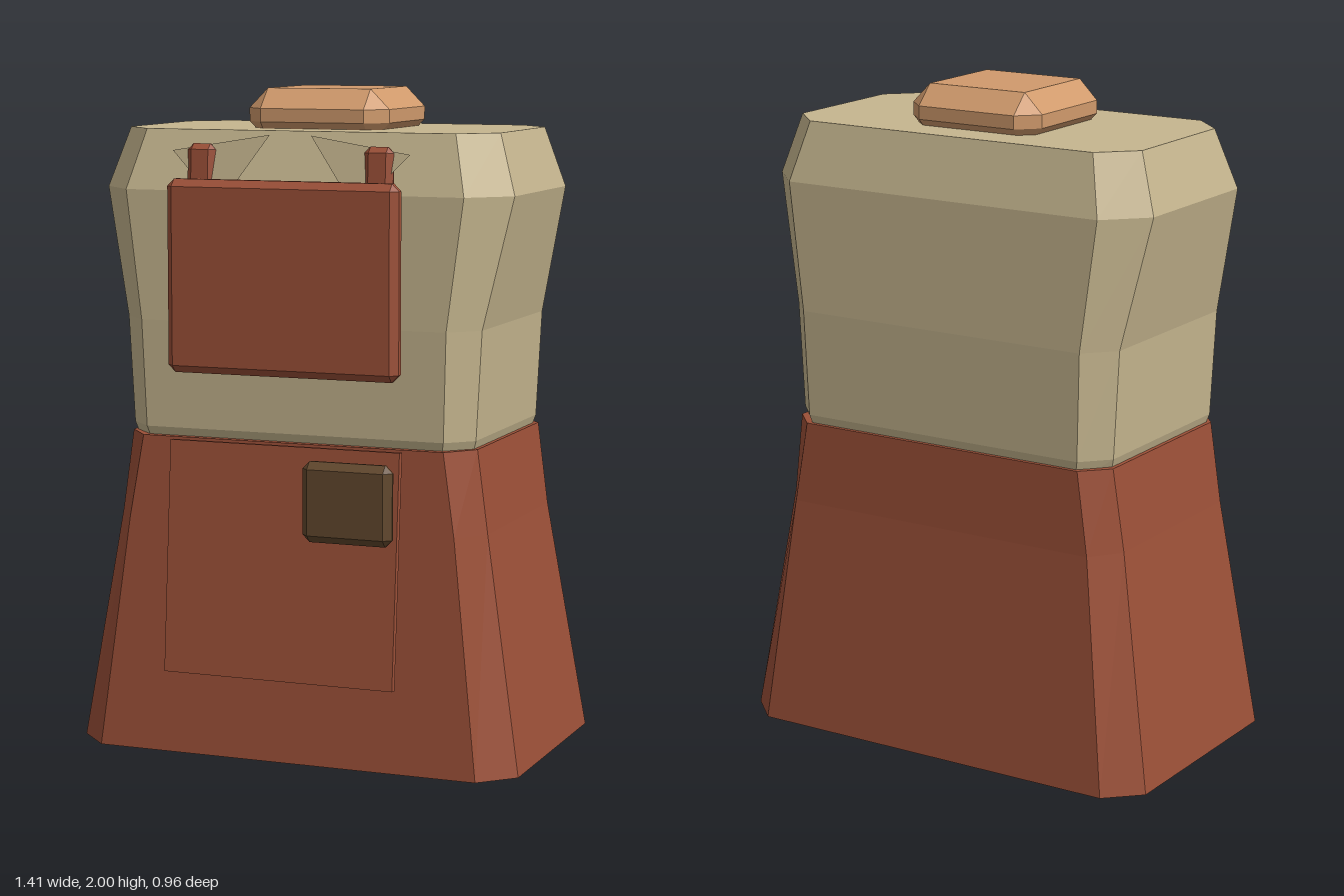
import * as THREE from 'three';
import { ConvexGeometry } from 'three/addons/geometries/ConvexGeometry.js';

function material(name, color, options = {}) {
  const m = new THREE.MeshStandardMaterial({ color, flatShading: true, ...options });
  m.name = name;
  return m;
}

// Faceted body through octagonal rings: [y, halfWidth, innerWidth, front, innerFront, back, innerBack]
function loft(rings) {
  const pos = [];
  const loops = rings.map(([y, X, xi, f, fi, b, bi]) => [
    [X, y, fi], [X, y, bi], [xi, y, b], [-xi, y, b],
    [-X, y, bi], [-X, y, fi], [-xi, y, f], [xi, y, f],
  ]);
  const tri = (...points) => points.forEach((p) => pos.push(...p));
  for (let r = 0; r < loops.length - 1; r++) {
    for (let i = 0; i < 8; i++) {
      const j = (i + 1) % 8, lo = loops[r], hi = loops[r + 1];
      tri(lo[i], lo[j], hi[j]);
      tri(lo[i], hi[j], hi[i]);
    }
  }
  // End caps
  const bottom = loops[0], top = loops[loops.length - 1];
  for (let i = 1; i < 7; i++) {
    tri(top[0], top[i], top[i + 1]);
    tri(bottom[0], bottom[i + 1], bottom[i]);
  }
  const g = new THREE.BufferGeometry();
  g.setAttribute('position', new THREE.Float32BufferAttribute(pos, 3));
  g.computeVertexNormals();
  return g;
}

// Box with every edge and corner cut off by one flat bevel
function bevelBox(w, h, d, b) {
  const points = [];
  for (const x of [-1, 1]) for (const y of [-1, 1]) for (const z of [-1, 1]) {
    for (let axis = 0; axis < 3; axis++) {
      const inset = [b, b, b];
      inset[axis] = 0;
      points.push(new THREE.Vector3(
        x * (w / 2 - inset[0]), y * (h / 2 - inset[1]), z * (d / 2 - inset[2])));
    }
  }
  return new ConvexGeometry(points);
}

export function createModel() {
  const group = new THREE.Group();
  group.name = 'torso';

  const shirt = material('khaki shirt', 0xc6b68f);
  const collarCloth = material('khaki collar', 0xc6b68f, { side: THREE.DoubleSide });
  const overall = material('rust overall', 0x9c5038);
  const skin = material('skin', 0xd09a6c);
  const leather = material('brown leather', 0x62482d);

  const add = (name, geometry, mat, x = 0, y = 0, z = 0, tilt = 0) => {
    const mesh = new THREE.Mesh(geometry, mat);
    mesh.name = name;
    mesh.position.set(x, y, z);
    mesh.rotation.x = tilt;
    group.add(mesh);
    return mesh;
  };

  // Flared lower garment
  add('skirt', loft([
    [0, 0.705, 0.605, 0.405, 0.305, -0.48, -0.385],
    [0.71, 0.59, 0.52, 0.36, 0.26, -0.422, -0.328],
    [0.96, 0.555, 0.48, 0.345, 0.255, -0.412, -0.335],
  ]), overall);

  // Shirt, widening to the shoulders
  add('shirt', loft([
    [0.92, 0.53, 0.46, 0.31, 0.24, -0.39, -0.31],
    [0.985, 0.55, 0.475, 0.33, 0.255, -0.405, -0.325],
    [1.31, 0.567, 0.485, 0.34, 0.257, -0.412, -0.325],
    [1.7, 0.65, 0.535, 0.335, 0.217, -0.403, -0.285],
    [1.88, 0.592, 0.49, 0.278, 0.175, -0.353, -0.253],
  ]), shirt);

  // Neck stump
  add('neck', bevelBox(0.45, 0.16, 0.43, 0.06), skin, 0, 1.92, -0.04);

  // Bib and hanging front panel
  add('bib', bevelBox(0.73, 0.575, 0.062, 0.022), overall, 0, 1.4525, 0.4);
  add('frontPanel', new THREE.BoxGeometry(0.73, 0.7, 0.022), overall, 0, 0.61, 0.418, -0.083);

  // Pouch
  add('pouch', bevelBox(0.28, 0.24, 0.052, 0.022), leather, 0.225, 0.81, 0.455);

  for (const side of [-1, 1]) {
    const label = side > 0 ? 'left' : 'right';
    // Shoulder strap
    add(label + 'Strap', bevelBox(0.09, 0.5, 0.042, 0.018), overall, side * 0.28, 1.592, 0.357, -0.06);
    // Collar flap
    const corners = [[-0.375, 1.82, 0.345], [-0.215, 1.66, 0.373], [-0.065, 1.87, 0.34]];
    if (side > 0) corners.reverse();
    const flap = new THREE.BufferGeometry().setFromPoints(
      corners.map(([x, y, z]) => new THREE.Vector3(-side * x, y, z)));
    flap.computeVertexNormals();
    add(label + 'Collar', flap, collarCloth);
  }
  return group;
}
